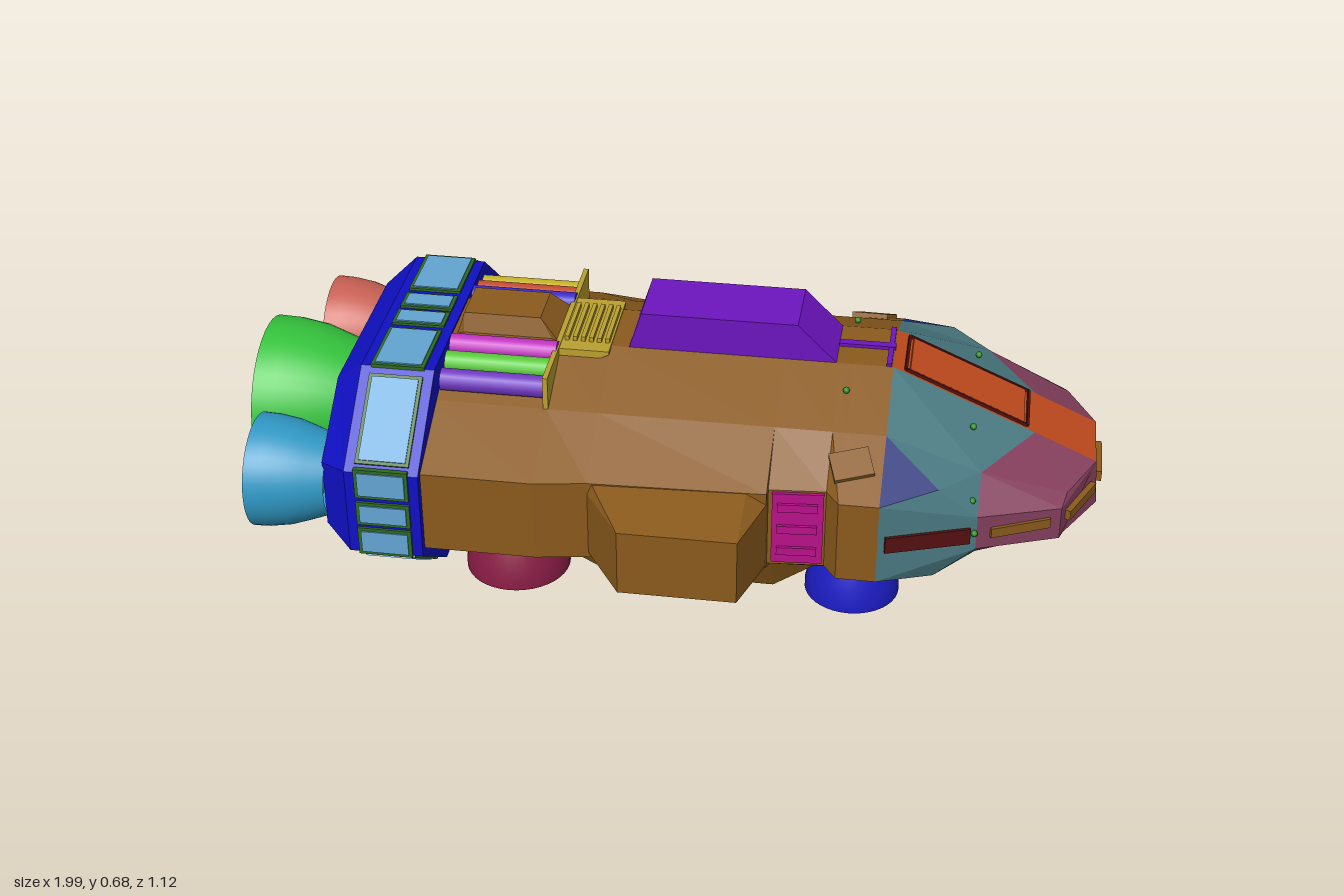
import * as THREE from 'three';
import { toCreasedNormals } from 'three/addons/utils/BufferGeometryUtils.js';

const BROWN = 0x8a5a1c, SLATE = 0x4a7a82, MAUVE = 0x86405e, ORANGE = 0xc04a1c, NAVY = 0x1c2c78,
  BLUE = 0x1010c4, PALE = 0x62a4d2, GREEN = 0x2e6a24, YELLOW = 0xbaa030, PURPLE = 0x6c14be, MAROON = 0x541010;

export function createModel() {
  const root = new THREE.Group();

  const add = (name, geo, color, flat = true) => {
    const mat = new THREE.MeshStandardMaterial({ color, flatShading: flat, side: THREE.DoubleSide });
    const m = new THREE.Mesh(geo, mat);
    m.name = name;
    root.add(m);
    return m;
  };
  const box = (name, color, size, pos, rot = [0, 0, 0]) => {
    const m = add(name, new THREE.BoxGeometry(...size), color);
    m.position.set(...pos);
    m.rotation.set(...rot);
    return m;
  };
  // Flat polygons, each turned to face away from a centre
  const polys = (name, color, faces, centre) => {
    const out = [], c = new THREE.Vector3(...centre);
    for (const f of faces) {
      const v = f.map(p => new THREE.Vector3(...p));
      for (let i = 1; i < v.length - 1; i++) {
        const t = new THREE.Triangle(v[0], v[i], v[i + 1]);
        const n = t.getNormal(new THREE.Vector3());
        const mid = t.getMidpoint(new THREE.Vector3()).sub(c);
        const tri = n.dot(mid) < 0 ? [t.a, t.c, t.b] : [t.a, t.b, t.c];
        tri.forEach(p => out.push(p.x, p.y, p.z));
      }
    }
    const g = new THREE.BufferGeometry();
    g.setAttribute('position', new THREE.Float32BufferAttribute(out, 3));
    g.computeVertexNormals();
    return add(name, g, color);
  };
  // Mirrored loft along x: each station is [x, half section of [y, z] from top to bottom]
  const loft = (name, color, stations) => {
    const n = stations[0][1].length * 2, pos = [], idx = [];
    for (const [x, half] of stations) {
      const ring = [...half, ...half.map(([y, z]) => [y, -z]).reverse()];
      ring.forEach(([y, z]) => pos.push(x, y, z));
    }
    const last = (stations.length - 1) * n;
    for (let i = 0; i < last; i += n) {
      for (let j = 0; j < n; j++) {
        const k = (j + 1) % n;
        idx.push(i + j, i + k, i + n + k, i + j, i + n + k, i + n + j);
      }
    }
    for (let j = 1; j < n - 1; j++) idx.push(0, j + 1, j, last, last + j, last + j + 1);
    const g = new THREE.BufferGeometry();
    g.setAttribute('position', new THREE.Float32BufferAttribute(pos, 3));
    g.setIndex(idx);
    const flat = g.toNonIndexed();
    flat.computeVertexNormals();
    return add(name, flat, color);
  };
  const lathe = (name, color, pts) => add(name, toCreasedNormals(
    new THREE.LatheGeometry(pts.map(p => new THREE.Vector2(...p)), 40), 0.6), color, false);

  // Main hull, pinched at the side doors
  const hull = w => [[.585, .085], [.51, .26], [.425, w], [.225, w], [.14, .26]];
  loft('hull', BROWN, [[-.54, .44], [-.27, .44], [-.15, .42], [.25, .405], [.252, .385],
    [.38, .375], [.41, .42], [.5, .42]].map(([x, w]) => [x, hull(w)]));

  // Side sponsons and keel
  const bay = w => [[.425, .4], [.397, w], [.238, w], [.225, .4]];
  loft('sponsons', BROWN, [[-.15, bay(.42)], [-.06, bay(.56)], [.205, bay(.56)], [.25, bay(.405)]]);
  const keel = y => [[.15, .26], [y, .2]];
  loft('keel', BROWN, [[-.28, keel(.14)], [-.15, keel(.03)], [.25, keel(.03)], [.41, keel(.14)]]);
  for (let i = 0; i < 4; i++)
    box('keelGrille', 0x4c6c88, [.32, .012, .06], [.05, .028, -.135 + i * .09]);

  // Nose: three rings of half-section points
  const A = [[.5, .585, .085], [.5, .51, .26], [.5, .425, .42], [.5, .225, .42], [.5, .14, .26], [.5, .13, .085]];
  const B = [[.83, .44, .085], [.715, .44, .27], [.715, .37, .345], [.715, .285, .345], [.715, .205, .24], [.76, .205, .085]];
  const C = [[.975, .375, .085], [.91, .372, .22], [.9, .355, .26], [.9, .275, .26], [.91, .265, .22], [.985, .265, .085]];
  const flip = p => [p[0], p[1], -p[2]];
  const both = faces => [...faces, ...faces.map(f => f.map(flip))];
  const centre = [.5, .33, 0];
  const quad = (P, Q, i) => [P[i], P[i + 1], Q[i + 1], Q[i]];
  const M = [.625, .445, .36], N = [.625, .21, .355];
  polys('nosePanels', SLATE, both([
    quad(A, B, 0), quad(A, B, 2), quad(A, B, 4),
    [A[1], M, B[1]], [M, B[2], B[1]], [A[2], B[2], M],
    [A[4], N, B[4]], [N, B[3], B[4]], [A[3], B[3], N]]), centre);
  polys('noseCorners', NAVY, both([[A[1], A[2], M], [A[3], A[4], N]]), centre);
  polys('noseTip', MAUVE, both([...[0, 1, 2, 3, 4].map(i => quad(B, C, i)), C]), centre);
  const strip = (p, q) => [p, q, flip(q), flip(p)];
  polys('noseCentreStrip', ORANGE, [strip(A[0], B[0]), strip(B[0], C[0]), strip(C[0], C[5]),
    strip(C[5], B[5]), strip(B[5], A[5])], centre);

  // Top hatch outline on the nose
  const tilt = -Math.atan2(.145, .33);
  const onStrip = x => .588 - (x - .5) * .145 / .33;
  box('noseHatch', ORANGE, [.29, .006, .14], [.67, onStrip(.67), 0], [0, 0, tilt]);
  for (const s of [-1, 1])
    box('noseHatchEdge', MAROON, [.31, .008, .006], [.67, onStrip(.67), s * .075], [0, 0, tilt]);
  for (const x of [.528, .812])
    box('noseHatchEdge', MAROON, [.006, .008, .15], [x, onStrip(x), 0], [0, 0, tilt]);

  // Slots around the nose, each following its facet
  const slot = (name, color, h, y, [x0, z0], [x1, z1]) => {
    for (const s of [-1, 1])
      box(name, color, [Math.hypot(x1 - x0, z1 - z0), h, .014], [(x0 + x1) / 2, y, s * (z0 + z1) / 2],
        [0, -s * Math.atan2(z1 - z0, x1 - x0), 0]);
  };
  slot('sideSlot', MAROON, .04, .325, [.515, .415], [.7, .35]);
  slot('tipSlot', BROWN, .024, .325, [.745, .332], [.875, .272]);
  slot('frontSlot', BROWN, .024, .325, [.915, .24], [.972, .115]);
  box('centreSlot', BROWN, [.02, .026, .13], [.982, .322, 0]);

  // Small lights
  for (const s of [-1, 1])
    for (const [x, y, z] of [[.7, .4, .325], [.7, .25, .305], [.71, .33, .35], [.4, .56, .16], [.69, .49, .16]]) {
      const m = add('light', new THREE.SphereGeometry(.008, 8, 6), 0x2c8a24, false);
      m.position.set(x, y, s * z);
    }

  // Side doors with a grip above
  for (const s of [-1, 1]) {
    const color = s > 0 ? 0xb8108a : 0xb01030;
    box('door', color, [.115, .185, .02], [.318, .328, s * .378], [0, s * .08, 0]);
    for (const y of [.27, .328, .386])
      box('doorRib', color, [.09, .02, .012], [.318, y, s * .389], [0, s * .08, 0]);
    box('grip', BROWN, [.09, .014, .07], [.43, .475, s * .335], [s * .49, s * .3, 0]);
  }

  // Dorsal fairing
  const spine = y => [[y, .085], [.57, .085]];
  loft('dorsalFairing', PURPLE, [[-.11, spine(.58)], [-.08, spine(.675)], [.28, spine(.675)], [.375, spine(.58)]]);
  box('dorsalRail', PURPLE, [.13, .012, .02], [.435, .587, 0]);
  box('dorsalCrossRail', PURPLE, [.012, .01, .17], [.49, .587, 0]);

  // Rear hatch, tubes, end plate and ribbed step
  const hatch = (y, w) => [[y, w], [.55, .085]];
  loft('rearHatch', BROWN, [[-.515, hatch(.58, .085)], [-.5, hatch(.63, .06)],
    [-.32, hatch(.63, .06)], [-.27, hatch(.58, .085)]]);
  const tubes = [[.115, .575, 0xc030c0], [.168, .56, 0x58c838], [.222, .545, 0x7038c0],
    [-.115, .575, 0x3a28c8], [-.168, .56, 0xc04a30], [-.222, .545, 0xc4b024]];
  for (const [z, y, color] of tubes) {
    const m = add('tube', new THREE.CylinderGeometry(.026, .026, .25, 16), color, false);
    m.rotation.z = Math.PI / 2;
    m.position.set(-.395, y, z);
  }
  box('tubeEndPlate', YELLOW, [.012, .09, .52], [-.272, .545, 0]);
  for (const s of [-1, 1]) box('tubeTray', YELLOW, [.25, .008, .17], [-.395, .535, s * .17], [s * .39, 0, 0]);
  const step = y => [[.588, .12], [y, .12]];
  loft('stepWedge', YELLOW, [[-.27, step(.52)], [-.15, step(.58)]]);
  for (let i = 0; i < 6; i++) box('stepRib', YELLOW, [.01, .014, .16], [-.255 + i * .019, .592, 0]);

  // Engine ring with panels on every face
  const oct = (sy = 1, sz = 1) => [[.59, .26], [.43, .46], [.215, .46], [.07, .26]]
    .map(([y, z]) => [.325 + (y - .325) * sy, z * sz]);
  loft('engineRing', BLUE, [[-.765, oct(.77, .86)], [-.695, oct()], [-.525, oct()]]);
  const up = Math.atan2(.16, .2), down = Math.PI - Math.atan2(.145, .2);
  const panels = [[.59, .04, .05, 0], [.59, .178, .155, 0], [.51, .36, .2, up], [.403, .46, .06, Math.PI / 2],
    [.323, .46, .045, Math.PI / 2], [.248, .46, .055, Math.PI / 2], [.1425, .36, .19, down],
    [.07, .178, .155, Math.PI], [.07, .04, .05, Math.PI]];
  for (const s of [-1, 1])
    for (const [y, z, w, a] of panels) {
      box('ringPanelFrame', GREEN, [.124, .012, w + .016], [-.61, y, s * z], [s * a, 0, 0]);
      box('ringPanel', PALE, [.108, .018, w], [-.61, y, s * z], [s * a, 0, 0]);
    }

  // Rear engine bells
  const bell = (name, color, r, len, z) => {
    const m = lathe(name, color, [[r * .7, 0], [r * .82, len * .25], [r * .93, len * .5], [r * .99, len * .78],
      [r, len], [r * .9, len], [r * .88, len * .75], [r * .7, len * .25], [0, len * .2]]);
    m.rotation.z = Math.PI / 2;
    m.position.set(-.76, .33, z);
  };
  bell('mainEngine', 0x34c23c, .19, .24, 0);
  bell('leftEngine', 0x3098c4, .132, .177, .33);
  bell('rightEngine', 0xc86054, .132, .177, -.33);

  // Underside thrusters
  const pods = [[.432, .135, .112, 0x1c1cc4], [.432, -.14, .112, 0xc060c8],
    [-.375, .15, .125, 0x881c44], [-.375, -.155, .125, 0x5c3cc0]];
  for (const [x, z, r, color] of pods) {
    const m = lathe('thruster', color, [[0, .15], [r * .66, .15], [r * .72, .127], [r * .85, .09], [r * .95, .05],
      [r, .018], [r, 0], [r * .87, 0], [r * .85, .03], [0, .035]]);
    m.position.set(x, 0, z);
  }
  return root;
}
